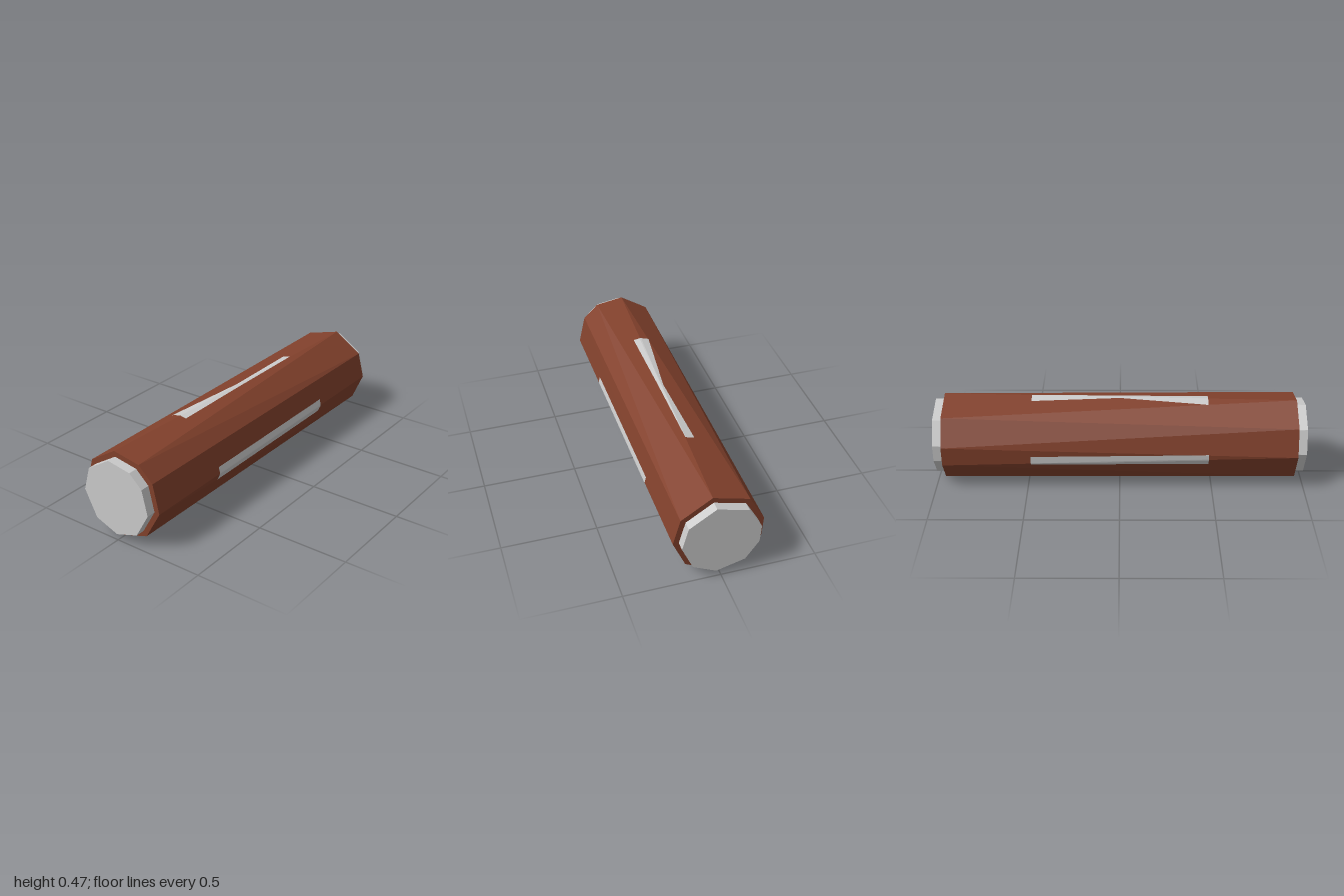
import * as THREE from 'three';
import { ConvexGeometry } from 'three/addons/geometries/ConvexGeometry.js';

const RADIUS = 0.2335;
// corner angles in degrees of the uneven nine-sided ends
const FRONT = [99.7, 61, 33, -7, -52, -91.4, -131, 183.7, 144.7];
const BACK = [80.8, 33, -3, -44, -83, -127.5, 197.8, 170.8, 130.7];

// Slightly twisted faceted log: the hull of the two uneven ends
function log(radius, halfLength) {
  const points = [];
  for (const [angles, z] of [[FRONT, halfLength], [BACK, -halfLength]]) {
    for (const a of angles) {
      const t = THREE.MathUtils.degToRad(a);
      points.push(new THREE.Vector3(radius * Math.cos(t), RADIUS + radius * Math.sin(t), z));
    }
  }
  return new ConvexGeometry(points);
}

// Thin inlay laid on the surface: sections are [z, low, high] across the strip
function inlay(target, outward, sections) {
  const ray = new THREE.Raycaster();
  const steps = 10, rows = 16;
  const inward = outward.clone().negate();
  const horizontal = outward.x !== 0;
  const geo = new THREE.PlaneGeometry(1, 1, steps, rows);
  const pos = geo.attributes.position;
  for (let i = 0; i < pos.count; i++) {
    const u = pos.getX(i) + 0.5, v = (pos.getY(i) + 0.5) * (sections.length - 1);
    const k = Math.min(Math.floor(v), sections.length - 2);
    const [z, lo, hi] = sections[k].map((s, j) => THREE.MathUtils.lerp(s, sections[k + 1][j], v - k));
    const across = THREE.MathUtils.lerp(lo, hi, u);
    const origin = horizontal
      ? new THREE.Vector3(outward.x, across, z)
      : new THREE.Vector3(across, RADIUS + outward.y, z);
    ray.set(origin, inward);
    const hit = ray.intersectObject(target)[0];
    const p = hit ? hit.point : origin.addScaledVector(inward, 1 - RADIUS);
    p.addScaledVector(outward, 0.0015);
    pos.setXYZ(i, p.x, p.y, p.z);
  }
  const flat = geo.toNonIndexed();
  flat.computeVertexNormals();
  return flat;
}

export function createModel() {
  const group = new THREE.Group();
  const grey = new THREE.MeshStandardMaterial({ color: 0xcccccc });
  const inlayGrey = new THREE.MeshStandardMaterial({ color: 0xcccccc, side: THREE.DoubleSide });
  const brown = new THREE.MeshStandardMaterial({ color: 0x82412c });
  const add = (name, geometry, material) => {
    const mesh = new THREE.Mesh(geometry, material);
    mesh.name = name;
    group.add(mesh);
    return mesh;
  };

  // Core showing at both ends, and the sleeve around it
  add('core', log(RADIUS * 0.87, 1), grey);
  const sleeve = add('sleeve', log(RADIUS, 0.95), brown);

  // Four long inlays around the middle
  const v = (x, y) => new THREE.Vector3(x, y, 0);
  add('topInlay', inlay(sleeve, v(0, 1), [[0.475, -0.07, 0.018], [0, -0.012, 0.016], [-0.475, -0.03, 0.018]]), inlayGrey);
  add('bottomInlay', inlay(sleeve, v(0, -1), [[0.475, -0.02, 0.065], [-0.475, -0.005, 0.05]]), inlayGrey);
  add('leftInlay', inlay(sleeve, v(1, 0), [[0.475, 0.17, 0.245], [-0.475, 0.178, 0.253]]), inlayGrey);
  add('rightInlay', inlay(sleeve, v(-1, 0), [[0.475, 0.17, 0.235], [-0.475, 0.17, 0.22]]), inlayGrey);
  return group;
}
